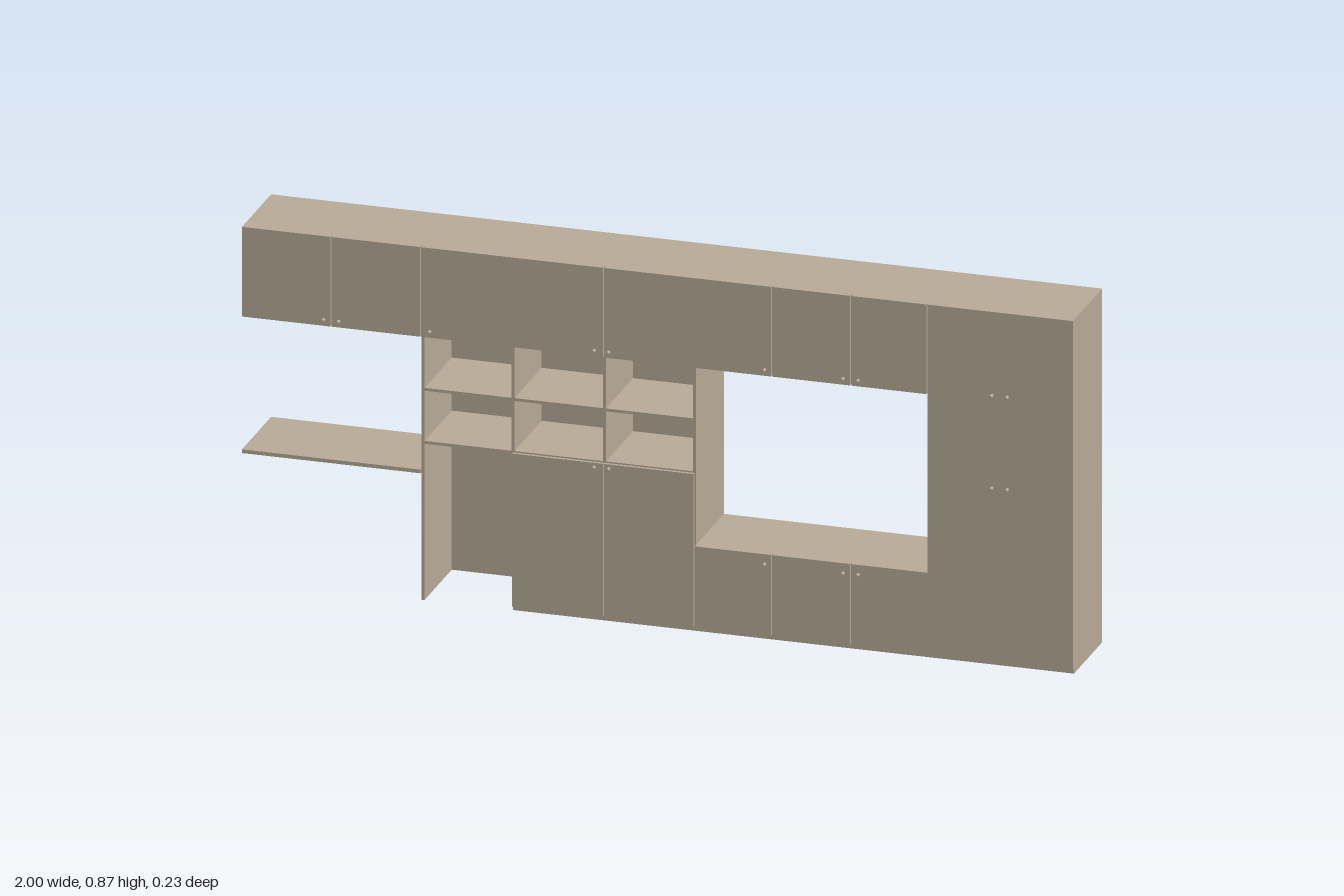
import * as THREE from 'three';

const BACK = -0.115, CARCASS = 0.097, FRONT = 0.105, KNOB = 0.118;
const TOP = 0.868, UPPER = 0.648, LOWER = 0.21, PLINTH = 0.012, GAP = 0.003, T = 0.007;

export function createModel() {
  const group = new THREE.Group();
  const wood = new THREE.MeshStandardMaterial({ color: 0xb8aa98 });
  wood.name = 'taupe wood';

  const box = (name, x0, x1, y0, y1, z0 = BACK, z1 = CARCASS) => {
    const mesh = new THREE.Mesh(new THREE.BoxGeometry(x1 - x0, y1 - y0, z1 - z0), wood);
    mesh.position.set((x0 + x1) / 2, (y0 + y1) / 2, (z0 + z1) / 2);
    mesh.name = name;
    group.add(mesh);
  };

  // A row of door fronts split at the given x positions
  const doors = (name, xs, y0, y1) => {
    for (let i = 0; i < xs.length - 1; i++) {
      const a = i === 0 ? 0 : GAP / 2;
      const b = i === xs.length - 2 ? 0 : GAP / 2;
      box(name, xs[i] + a, xs[i + 1] - b, y0, y1, CARCASS, FRONT);
    }
  };

  // Closed cabinet bodies
  box('upperCabinet', -1, 0.65, UPPER, TOP);
  box('tallCabinet', 0.65, 1, 0, TOP);
  box('lowCabinet', 0.09, 0.65, 0, LOWER);
  box('middleCabinet', -0.35, 0.09, 0, 0.387);

  // Door fronts, raised above the recessed plinth
  doors('upperDoor', [-1, -0.785, -0.57, -0.13, 0.275, 0.465, 0.65 - GAP], UPPER, TOP);
  doors('tallDoor', [0.65, 1], PLINTH, TOP);
  doors('lowDoor', [0.09, 0.275, 0.465, 0.65], PLINTH, LOWER);
  doors('middleDoor', [-0.35, -0.13, 0.09 - GAP], PLINTH, 0.387);

  // Open shelving with a back panel, uprights and shelves
  box('backPanel', -0.57, 0.09, 0, UPPER, BACK, BACK + T);
  box('sidePanel', -0.57, -0.57 + T, 0, UPPER);
  for (const x of [-0.35, -0.13]) box('divider', x - T / 2, x + T / 2, 0.387, UPPER);
  box('sidePanel', 0.09 - T, 0.09, 0.387, UPPER);
  for (const y of [0.387, 0.517]) box('shelf', -0.57, 0.09, y - T / 2, y + T / 2);

  // Projecting desk board
  box('deskBoard', -1, -0.57, 0.313, 0.322, BACK, FRONT);

  // Round door knobs, by row height
  const knobGeometry = new THREE.CylinderGeometry(0.004, 0.004, KNOB - FRONT, 16);
  knobGeometry.rotateX(Math.PI / 2);
  const rows = [
    [0.663, [-0.803, -0.767, -0.548, -0.152, -0.117, 0.258, 0.447, 0.483, 0.805, 0.842]],
    [0.436, [0.805, 0.842]],
    [0.377, [-0.152, -0.117]],
    [0.186, [0.258, 0.447, 0.483]],
  ];
  for (const [y, xs] of rows) {
    for (const x of xs) {
      const knob = new THREE.Mesh(knobGeometry, wood);
      knob.position.set(x, y, (FRONT + KNOB) / 2);
      knob.name = 'knob';
      group.add(knob);
    }
  }
  return group;
}
